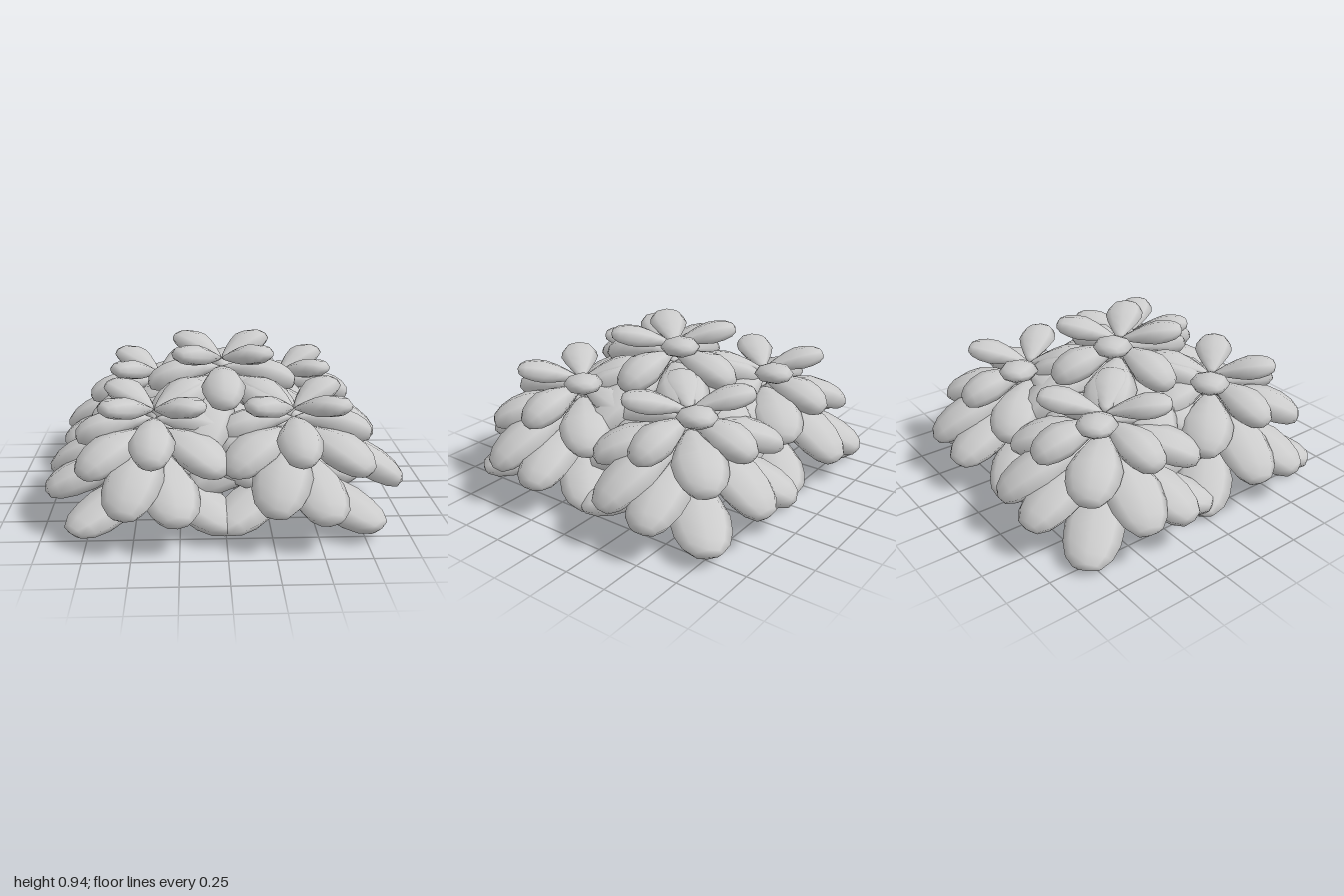
import * as THREE from 'three';
import { mergeVertices } from 'three/addons/utils/BufferGeometryUtils.js';

const material = new THREE.MeshStandardMaterial({ color: 0xcccccc });
const rad = THREE.MathUtils.degToRad;

// Layers of a rosette, top to bottom: four petals each.
// turns: angles from +z; base/tip: heights; reach: radius of the tip
const layers = [
  { name: 'crownPetal', turns: [45, 135, 225, 315], base: 0.64, tip: 0.725, reach: 0.37, width: 0.112, thick: 0.06, arch: 0.01 },
  { name: 'upperPetal', turns: [0, 86, 175, 274], base: 0.59, tip: 0.495, reach: 0.44, width: 0.125, thick: 0.084, arch: 0.025, first: 1.11 },
  { name: 'middlePetal', turns: [45, 135, 225, 315], base: 0.53, tip: 0.4, reach: 0.53, width: 0.152, thick: 0.084, arch: 0.03 },
  { name: 'outerPetal', turns: [-14, 76, 166, 256], base: 0.5, tip: 0.255, reach: 0.62, width: 0.162, thick: 0.085, arch: 0.035 },
  { name: 'lowerPetal', turns: [13, 103, 193, 283], base: 0.43, tip: 0.22, reach: 0.62, width: 0.162, thick: 0.09, arch: 0.01 },
  { name: 'basePetal', turns: [45, 135, 225, 315], base: 0.35, tip: 0.105, reach: 0.615, width: 0.165, thick: 0.086, arch: -0.035 },
];
const backDrop = 0.045; // the back right base petal hangs a little lower

// Petal along +z: an eight-sided sphere drawn to a wedge at the base and blunt at the tip
function petalGeometry(length, width, thick, arch) {
  const geo = new THREE.SphereGeometry(1, 8, 8).rotateX(Math.PI / 2);
  const p = geo.attributes.position;
  for (let i = 0; i < p.count; i++) {
    const x = p.getX(i), y = p.getY(i), z = THREE.MathUtils.clamp(p.getZ(i), -1, 1);
    const r = Math.hypot(x, y);
    const t = Math.pow((z + 1) / 2, 0.75);
    const blunt = z > 0 && r > 1e-4 ? Math.pow(r, -0.2) : 1;
    const full = Math.min(1, 0.55 + 0.75 * t) * blunt;
    p.setXYZ(i, x * full * width, y * full * thick + arch * 4 * t * (1 - t), t * length);
  }
  geo.deleteAttribute('uv');
  geo.deleteAttribute('normal');
  const smooth = mergeVertices(geo, 1e-5);
  smooth.computeVertexNormals();
  return smooth;
}

function rosette() {
  const group = new THREE.Group();
  for (const l of layers) {
    l.turns.forEach((turn, i) => {
      const reach = l.reach * (i === 0 && l.first ? l.first : 1);
      const tip = l.tip - (i === 2 && l.name === 'basePetal' ? backDrop : 0);
      const length = Math.hypot(reach, l.base - tip);
      const petal = new THREE.Mesh(petalGeometry(length, l.width, l.thick, l.arch), material);
      petal.name = l.name;
      petal.rotation.order = 'YXZ';
      petal.rotation.set(Math.atan2(l.base - tip, reach), rad(turn), 0);
      petal.position.y = l.base;
      group.add(petal);
    });
  }
  return group;
}

export function createModel() {
  const model = new THREE.Group();
  model.name = 'succulentCluster';

  // Four rosettes in a square and a raised one in the middle
  const spots = [[0, 0.19, 0]];
  for (const x of [-0.39, 0.39]) for (const z of [-0.39, 0.39]) spots.push([x, 0, z]);
  spots.forEach((s, i) => {
    const r = rosette();
    r.name = i === 0 ? 'middleRosette' : 'cornerRosette';
    r.position.set(...s);
    model.add(r);
  });

  // Stand on the ground
  const box = new THREE.Box3().setFromObject(model, true);
  model.children.forEach((c) => { c.position.y -= box.min.y; });
  return model;
}
